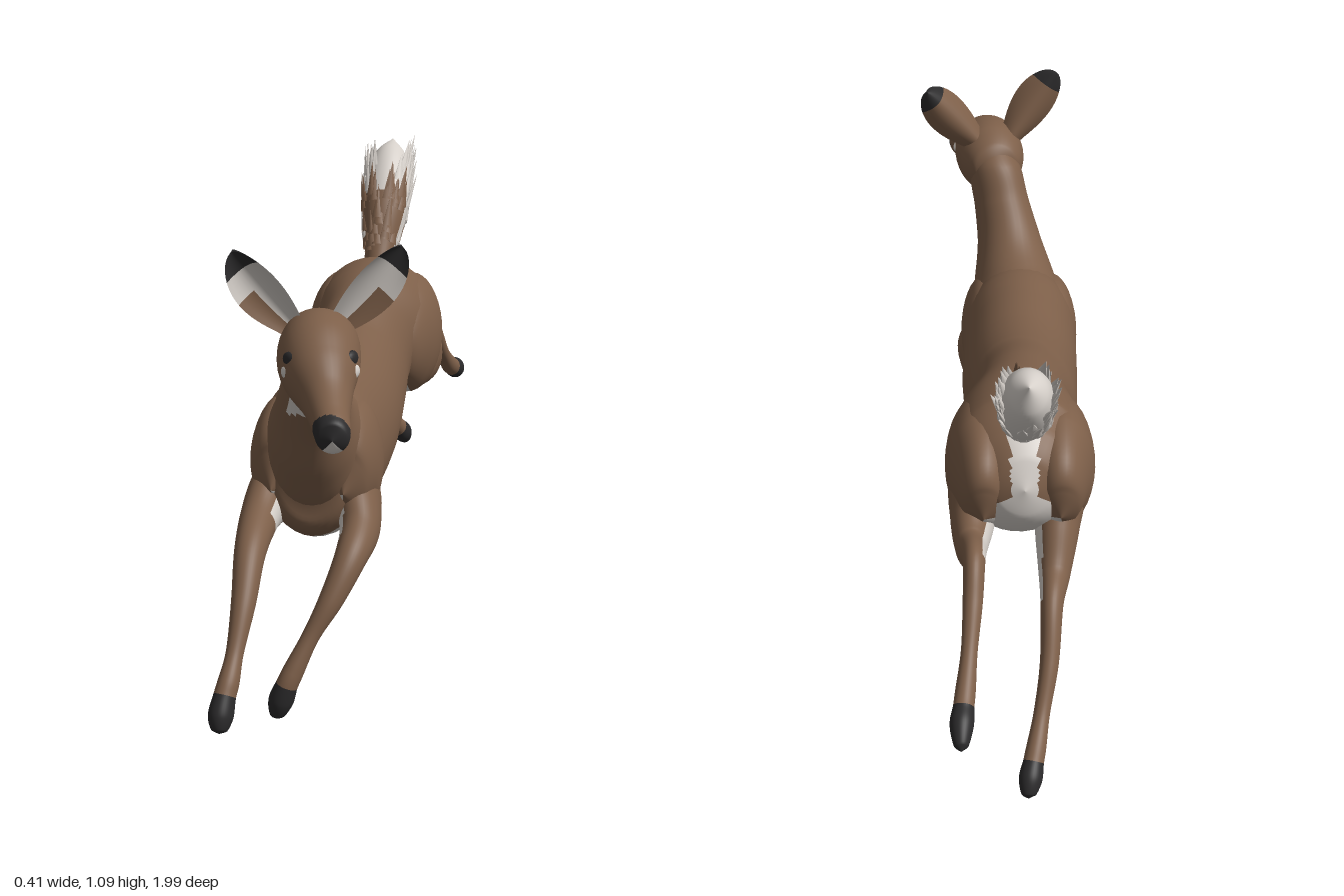
import * as THREE from 'three';
import { mergeGeometries } from 'three/addons/utils/BufferGeometryUtils.js';

const mat = (name, color) => {
  const m = new THREE.MeshStandardMaterial({ color, side: THREE.DoubleSide });
  m.name = name;
  return m;
};
const brown = mat('brownCoat', 0x7d5f49);
const white = mat('whiteFur', 0xd6d0ca);
const black = mat('blackHoof', 0x2b2a2b);
const COAT = [brown, white, black];
const BROWN = 0, WHITE = 1, BLACK = 2;
const UP = new THREE.Vector3(0, 1, 0);
const vec = (x, y, z) => new THREE.Vector3(x, y, z);

// Indexed geometry whose triangles are sorted into one group per material
function grouped(pos, tris) {
  const geo = new THREE.BufferGeometry();
  geo.setAttribute('position', new THREE.Float32BufferAttribute(pos, 3));
  const index = [];
  for (let m = 0; m < COAT.length; m++) {
    const start = index.length;
    for (const t of tris) if (t[3] === m) index.push(t[0], t[1], t[2]);
    if (index.length > start) geo.addGroup(start, index.length - start, m);
  }
  geo.setIndex(index);
  geo.computeVertexNormals();
  return geo;
}

// Frames along a list of rings [x, y, z, halfWidth, halfHeight]
function spine(rings, up = UP) {
  const path = new THREE.CatmullRomCurve3(rings.map(r => vec(r[0], r[1], r[2])));
  const size = new THREE.CatmullRomCurve3(rings.map(r => vec(r[3], r[4], 0)), false, 'catmullrom', 0.5);
  return u => {
    const p = path.getPoint(u), t = path.getTangent(u), r = size.getPoint(u);
    const s = up.clone().cross(t).normalize(), n = t.clone().cross(s);
    const dir = a => s.clone().multiplyScalar(Math.cos(a)).addScaledVector(n, Math.sin(a));
    const at = a => p.clone()
      .addScaledVector(s, Math.max(0, r.x) * Math.cos(a))
      .addScaledVector(n, Math.max(0, r.y) * Math.sin(a));
    return { t, dir, at };
  };
}

// Smooth body part through the rings; paint(point, outward, u) picks the material
function loft(name, rings, paint = () => BROWN, up = UP) {
  const N = 36, M = (rings.length - 1) * 9, frame = spine(rings, up);
  const pos = [], tris = [];
  for (let j = 0; j <= M; j++) {
    const f = frame(j / M);
    for (let i = 0; i < N; i++) pos.push(...f.at(i / N * Math.PI * 2).toArray());
  }
  for (let j = 0; j < M; j++) {
    const u = (j + 0.5) / M, f = frame(u);
    for (let i = 0; i < N; i++) {
      const ang = (i + 0.5) / N * Math.PI * 2, m = paint(f.at(ang), f.dir(ang), u);
      const a = j * N + i, b = j * N + (i + 1) % N;
      tris.push([a, b, b + N, m], [a, b + N, a + N, m]);
    }
  }
  const mesh = new THREE.Mesh(grouped(pos, tris), COAT);
  mesh.name = name;
  return mesh;
}

// Leg: the last rings are the hoof, the inner face is white down to whiteEnd
function leg(name, rings, inner, whiteEnd, up) {
  const hoof = (rings.length - 4) / (rings.length - 1);
  return loft(name, rings, (c, d, u) =>
    u > hoof ? BLACK : u > 0.12 && u < whiteEnd && d.x * inner > 0.4 && d.y < 0.6 ? WHITE : BROWN, up);
}

// Cupped round-tipped ear: white inside, brown back and lower rim, black tip
function ear(name, base, tip, face) {
  const L = tip.clone().sub(base), axis = L.clone().normalize(), outer = Math.sign(L.x);
  const W = axis.clone().cross(face).normalize(), F = W.clone().cross(axis).normalize();
  const U = 20, V = 12, pos = [], tris = [];
  for (const layer of [0, 1]) {
    for (let j = 0; j <= U; j++) for (let i = 0; i <= V; i++) {
      const u = 1 - (1 - j / U) ** 1.5, v = i / V * 2 - 1;
      const w = 0.054 * Math.sqrt(Math.max(0, Math.sin(Math.PI * (0.1 + 0.9 * u ** 1.25))));
      const p = base.clone().addScaledVector(L, u).addScaledVector(W, w * v)
        .addScaledVector(F, 0.6 * w * v * v - (layer ? 0.012 * (1 - v * v) : 0));
      pos.push(p.x, p.y, p.z);
    }
    for (let j = 0; j < U; j++) for (let i = 0; i < V; i++) {
      const a = layer * (U + 1) * (V + 1) + j * (V + 1) + i, b = a + 1, c = a + V + 2, d = a + V + 1;
      const rim = j < U * 0.4 && outer * ((i + 0.5) / V * 2 - 1) > 0.4;
      const m = j > U * 0.63 ? BLACK : layer || rim ? BROWN : WHITE;
      if (layer) tris.push([a, b, c, m], [a, c, d, m]);
      else tris.push([a, c, b, m], [a, d, c, m]);
    }
  }
  const mesh = new THREE.Mesh(grouped(pos, tris), COAT);
  mesh.name = name;
  return mesh;
}

// Raised tail: a core covered with pointed tufts, brown only on the lower front
function makeTail() {
  const tail = new THREE.Group();
  tail.name = 'tail';
  const rings = [
    [-0.02, 0.74, -0.39, 0.03, 0.03], [-0.02, 0.82, -0.455, 0.042, 0.045],
    [-0.02, 0.895, -0.52, 0.06, 0.066], [-0.02, 0.97, -0.585, 0.062, 0.07],
    [-0.02, 1.035, -0.645, 0.045, 0.052], [-0.02, 1.08, -0.69, 0, 0]];
  const brownSide = (d, u) => u < 0.2 ? d.y > -0.4 : u < 0.5 && d.y > 0.25;
  tail.add(loft('tailCore', rings, (c, d, u) => brownSide(d, u) ? BROWN : WHITE));
  let seed = 7;
  const rnd = () => (seed = (seed * 16807) % 2147483647) / 2147483647;
  const frame = spine(rings), tufts = new Map([[brown, []], [white, []]]);
  for (let k = 0; k < 150; k++) {
    const u = 0.16 + 0.7 * rnd(), a = rnd() * Math.PI * 2, f = frame(u), d = f.dir(a);
    const len = 0.08 + 0.03 * rnd();
    const grow = f.t.clone().addScaledVector(d, 0.05 + 0.25 * rnd() * (1 - u)).normalize();
    const side = d.clone().cross(grow).normalize(), out = side.clone().cross(grow);
    const start = f.at(a), end = start.clone().addScaledVector(grow, len);
    if (end.y > 1.1 || end.z < -0.715) continue;
    const g = new THREE.ConeGeometry(0.014, len, 6, 1, true).translate(0, len * 0.45, 0).scale(1, 1, 0.4);
    g.applyMatrix4(new THREE.Matrix4().makeBasis(side, grow, out).setPosition(start));
    tufts.get(brownSide(d, u) ? brown : white).push(g);
  }
  for (const [m, list] of tufts) {
    const mesh = new THREE.Mesh(mergeGeometries(list), m);
    mesh.name = 'tailTufts';
    tail.add(mesh);
  }
  return tail;
}

export function createModel() {
  const deer = new THREE.Group();
  deer.name = 'leapingDeer';

  // Torso, with white belly and rump stripe
  deer.add(loft('torso', [
    [-0.02, 0.67, -0.525, 0, 0], [-0.02, 0.665, -0.505, 0.07, 0.075], [-0.02, 0.655, -0.46, 0.125, 0.13],
    [-0.015, 0.64, -0.38, 0.162, 0.18], [-0.015, 0.635, -0.28, 0.158, 0.18], [-0.022, 0.615, -0.18, 0.13, 0.175],
    [-0.03, 0.56, -0.05, 0.14, 0.186], [-0.032, 0.522, 0.1, 0.148, 0.195], [-0.038, 0.51, 0.25, 0.15, 0.2],
    [-0.04, 0.512, 0.37, 0.148, 0.197], [-0.038, 0.52, 0.45, 0.122, 0.175], [-0.035, 0.53, 0.51, 0.08, 0.12],
    [-0.035, 0.53, 0.54, 0, 0]],
  (c, d) => (d.y < -0.7 - 0.3 * c.z && c.z < 0.46) || (c.z < -0.4 && Math.abs(c.x + 0.02) < 0.032) ? WHITE : BROWN));

  // Neck with throat patch
  deer.add(loft('neck', [
    [-0.04, 0.5, 0.3, 0.07, 0.1], [-0.038, 0.545, 0.39, 0.125, 0.165], [-0.03, 0.61, 0.475, 0.108, 0.138],
    [-0.018, 0.69, 0.545, 0.085, 0.1], [0, 0.775, 0.605, 0.072, 0.086], [0.015, 0.85, 0.65, 0.068, 0.08],
    [0.02, 0.9, 0.68, 0.05, 0.05]],
  (c, d) => c.y > 0.7 && d.z > 0.35 && Math.abs(d.x) < 0.68 ? WHITE : BROWN));

  // Head with black nose and pale jaw
  const head = new THREE.Group();
  head.name = 'head';
  head.add(loft('skull', [
    [0.012, 0.885, 0.6, 0, 0], [0.016, 0.882, 0.62, 0.058, 0.055], [0.022, 0.87, 0.67, 0.085, 0.092],
    [0.032, 0.855, 0.74, 0.09, 0.102], [0.048, 0.835, 0.8, 0.078, 0.086], [0.07, 0.806, 0.86, 0.055, 0.062],
    [0.088, 0.785, 0.92, 0.042, 0.047], [0.1, 0.771, 0.96, 0.038, 0.042], [0.105, 0.766, 0.985, 0.031, 0.033],
    [0.106, 0.765, 0.997, 0, 0]],
  (c, d) => c.z > 0.955 + 0.015 * d.y && d.y > -0.75 ? BLACK : d.y < -0.8 && c.z > 0.66 ? WHITE : BROWN));
  const spot = (name, m, x, y, z, r, flat, yaw) => {
    const s = new THREE.Mesh(new THREE.SphereGeometry(r, 16, 12), m);
    s.scale.set(flat, 0.85, 1.1);
    s.rotation.y = yaw;
    s.position.set(x, y, z);
    s.name = name;
    head.add(s);
  };
  for (const [x, z, yaw, step] of [[0.11, 0.787, -0.35, 0.006], [-0.014, 0.817, 0.85, -0.006]]) {
    spot('eye', black, x, 0.878, z, 0.021, 0.55, yaw);
    spot('underEyePatch', white, x + step, 0.85, z + 0.002, 0.019, 0.5, yaw);
  }
  head.add(ear('leftEar', vec(0.06, 0.925, 0.67), vec(0.198, 1.09, 0.645), vec(0.6, 0.1, 0.75)));
  head.add(ear('rightEar', vec(-0.03, 0.925, 0.7), vec(-0.152, 1.09, 0.75), vec(-0.15, 0, 1)));
  deer.add(head);

  // Haunches and shoulders, mirrored about the body
  for (const s of [1, -1]) {
    const side = s > 0 ? 'left' : 'right', x = -0.015 + s * 0.09, w = -0.04 + s * 0.085;
    deer.add(loft(side + 'Haunch', [
      [x - s * 0.02, 0.62, -0.14, 0, 0], [x, 0.62, -0.2, 0.048, 0.09], [x, 0.62, -0.28, 0.08, 0.145],
      [x, 0.615, -0.37, 0.088, 0.16], [x, 0.61, -0.44, 0.07, 0.14], [x, 0.59, -0.49, 0.045, 0.085], [x, 0.58, -0.515, 0, 0]],
    (c, d) => d.x * s < 0.1 && d.y < -0.3 ? WHITE : BROWN));
    deer.add(loft(side + 'Shoulder', [
      [w, 0.5, 0.16, 0, 0], [w, 0.5, 0.24, 0.046, 0.09], [w, 0.5, 0.34, 0.068, 0.15],
      [w, 0.5, 0.42, 0.068, 0.145], [w, 0.48, 0.48, 0.048, 0.09], [w, 0.47, 0.52, 0, 0]],
    (c, d) => d.x * s < -0.1 && d.y < -0.3 ? WHITE : BROWN));
  }

  // Forelegs reaching ahead
  const foreUp = vec(0, 0.7, 0.7);
  deer.add(leg('leftForeleg', [
    [0.05, 0.43, 0.25, 0, 0], [0.055, 0.415, 0.33, 0.045, 0.1], [0.066, 0.405, 0.42, 0.052, 0.09],
    [0.08, 0.375, 0.5, 0.046, 0.062], [0.073, 0.342, 0.59, 0.037, 0.042], [0.04, 0.265, 0.655, 0.028, 0.031],
    [0, 0.19, 0.695, 0.02, 0.022], [-0.035, 0.115, 0.725, 0.024, 0.028], [-0.048, 0.085, 0.735, 0.025, 0.029],
    [-0.062, 0.045, 0.735, 0.028, 0.033], [-0.07, 0.01, 0.735, 0.017, 0.021], [-0.07, 0.002, 0.735, 0, 0]], -1, 0.33, foreUp));
  deer.add(leg('rightForeleg', [
    [-0.13, 0.45, 0.25, 0, 0], [-0.135, 0.435, 0.33, 0.045, 0.105], [-0.146, 0.425, 0.43, 0.05, 0.088],
    [-0.15, 0.405, 0.53, 0.045, 0.055], [-0.145, 0.37, 0.66, 0.036, 0.04], [-0.14, 0.29, 0.755, 0.028, 0.031],
    [-0.145, 0.2, 0.83, 0.02, 0.022], [-0.15, 0.15, 0.872, 0.024, 0.028], [-0.155, 0.125, 0.89, 0.025, 0.029],
    [-0.16, 0.085, 0.912, 0.028, 0.033], [-0.16, 0.058, 0.927, 0.017, 0.021], [-0.16, 0.052, 0.93, 0, 0]], 1, 0.29, foreUp));

  // Hind legs kicked back
  deer.add(leg('leftHindLeg', [
    [0.08, 0.58, -0.33, 0, 0], [0.09, 0.57, -0.36, 0.06, 0.1], [0.1, 0.525, -0.45, 0.053, 0.075],
    [0.105, 0.52, -0.54, 0.038, 0.052], [0.1, 0.552, -0.63, 0.026, 0.037], [0.105, 0.5, -0.71, 0.023, 0.027],
    [0.115, 0.43, -0.795, 0.019, 0.021], [0.125, 0.378, -0.865, 0.023, 0.026], [0.13, 0.36, -0.9, 0.024, 0.026],
    [0.135, 0.345, -0.94, 0.027, 0.03], [0.137, 0.325, -0.985, 0.016, 0.018], [0.137, 0.32, -0.997, 0, 0]], -1, 0.36, UP));
  deer.add(leg('rightHindLeg', [
    [-0.11, 0.58, -0.33, 0, 0], [-0.11, 0.56, -0.36, 0.06, 0.1], [-0.1, 0.495, -0.45, 0.053, 0.075],
    [-0.09, 0.435, -0.54, 0.038, 0.05], [-0.08, 0.415, -0.625, 0.027, 0.038], [-0.07, 0.32, -0.725, 0.022, 0.026],
    [-0.05, 0.235, -0.8, 0.019, 0.021], [-0.035, 0.185, -0.86, 0.023, 0.026], [-0.028, 0.165, -0.885, 0.024, 0.027],
    [-0.02, 0.14, -0.915, 0.027, 0.03], [-0.015, 0.115, -0.94, 0.016, 0.018], [-0.015, 0.11, -0.946, 0, 0]], 1, 0.36, UP));

  deer.add(makeTail());
  return deer;
}
